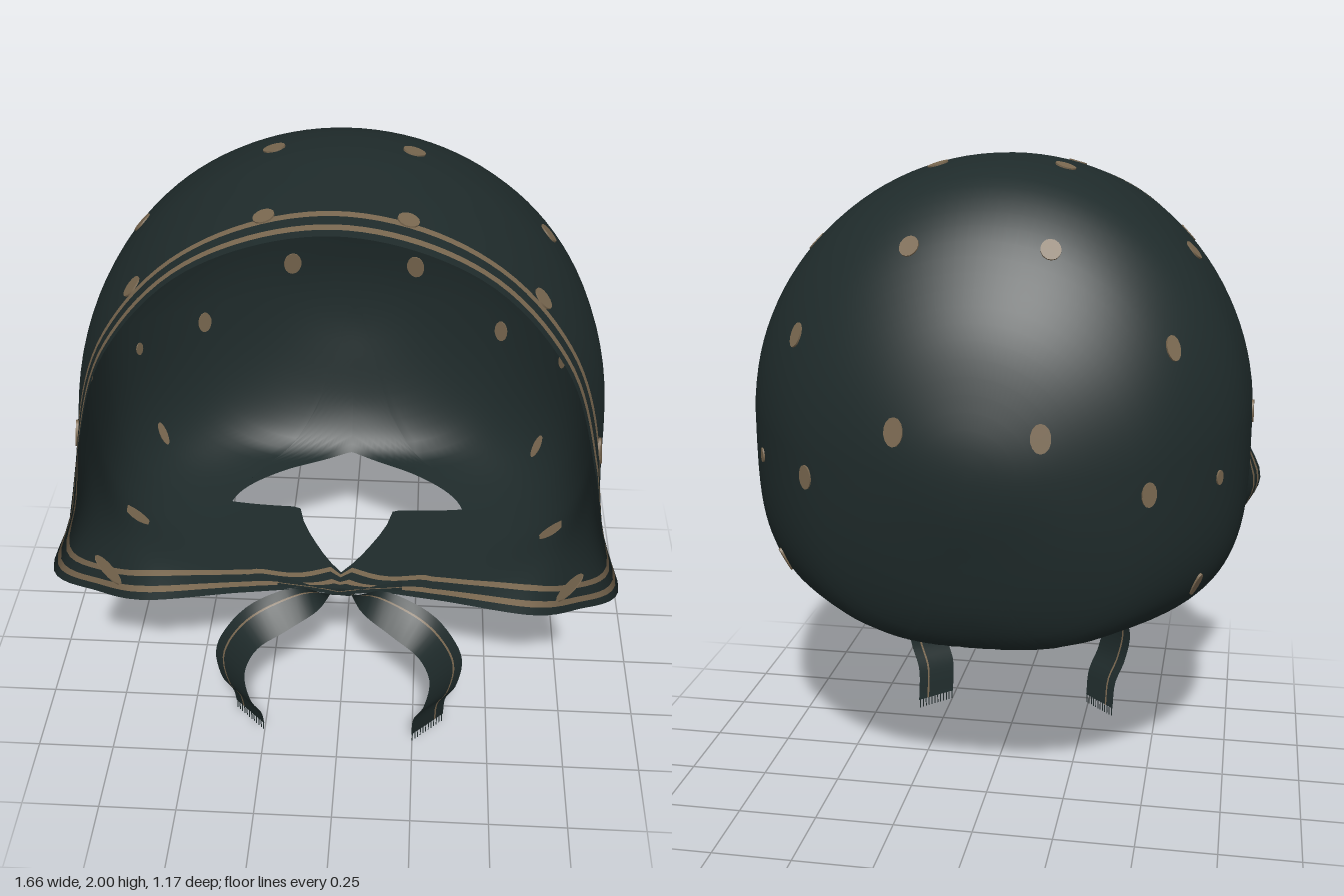
import * as THREE from 'three';
import { mergeVertices } from 'three/addons/utils/BufferGeometryUtils.js';

const cloth = new THREE.MeshStandardMaterial({ name: 'dark green cloth', color: 0x1f2b2b, side: THREE.DoubleSide });
const tan = new THREE.MeshStandardMaterial({ name: 'tan print', color: 0x7a6850, side: THREE.DoubleSide });
const V = (x, y, z) => new THREE.Vector3(x, y, z);

// Hood sections from back to front: z, half width, top, bottom, centre height, squareness of the lower half
const SECTIONS = [
  [-0.585, 0, 1.15, 1.15, 1.15, 2],
  [-0.58, 0.1, 1.24, 1.05, 1.15, 2],
  [-0.56, 0.21, 1.34, 0.93, 1.15, 2.1],
  [-0.5, 0.39, 1.54, 0.69, 1.15, 2.4],
  [-0.42, 0.54, 1.69, 0.58, 1.15, 2.8],
  [-0.3, 0.665, 1.85, 0.572, 1.17, 3.3],
  [-0.15, 0.755, 1.96, 0.57, 1.2, 3.7],
  [0.05, 0.787, 2.0, 0.57, 1.2, 4],
  [0.25, 0.78, 1.995, 0.57, 1.2, 4],
];

// Front rim, from under the chin up to the crown: angle, x, y, z
const RIM = [
  [0, 0, 0.572, 0.3], [0.145, 0.3, 0.576, 0.34], [0.664, 0.62, 0.6, 0.42],
  [0.92, 0.73, 0.71, 0.505], [1.27, 0.83, 0.855, 0.585], [1.49, 0.775, 1.02, 0.545],
  [1.62, 0.73, 1.25, 0.53], [2.09, 0.62, 1.6, 0.545], [2.54, 0.38, 1.86, 0.535],
  [Math.PI, 0, 1.965, 0.52],
];
const rimCurve = new THREE.CatmullRomCurve3([
  ...RIM.map(([, x, y, z]) => V(x, y, z)),
  ...RIM.slice(1, -1).reverse().map(([, x, y, z]) => V(-x, y, z))], true);

function rimPoint(phi) {
  let i = 0;
  while (i < RIM.length - 2 && phi > RIM[i + 1][0]) i++;
  const f = (phi - RIM[i][0]) / (RIM[i + 1][0] - RIM[i][0]);
  return rimCurve.getPoint((i + f) / (2 * RIM.length - 2));
}

// Line over the hood from the back pole to the rim at one angle
function meridian(phi) {
  const a = Math.abs(phi), s = Math.abs(Math.sin(a)), c = Math.cos(a);
  const pts = SECTIONS.map(([z, w, top, bottom, mid, n]) => {
    const low = c > 0, e = low ? 2 / n : 1;
    return V(w * Math.pow(s, e), low ? mid - (mid - bottom) * Math.pow(c, e) : mid - (top - mid) * c, z);
  });
  pts.push(rimPoint(a));
  if (phi < 0) pts.forEach(p => { p.x *= -1; });
  return new THREE.CatmullRomCurve3(pts);
}

// Fraction of a meridian's length at a given depth
function fractionAtZ(curve, z) {
  let lo = 0, hi = 1;
  for (let i = 0; i < 22; i++) {
    const m = (lo + hi) / 2;
    if (curve.getPointAt(m).z < z) lo = m; else hi = m;
  }
  return lo;
}

const HOLE = 0.29, BACK = 20, FRONT = 20;
const BANDS = [0.113, 0.09, 0.053, 0.029, 0];

// Positions along a meridian; the lines part around the neck opening,
// whose front side is two flaps with a notch between them
function columns(phi, curve) {
  const length = curve.getLength();
  const q = Math.min(1, Math.sqrt(Math.abs(phi) / HOLE));
  const va = fractionAtZ(curve, -0.11 - 0.31 * Math.sqrt(1 - q * q));
  const vb = fractionAtZ(curve, -0.11 + 0.33 * Math.pow(Math.max(0, 1 - q / 0.42), 0.8));
  const s = Math.min(1, (1 - vb) * length / 0.13);
  const bandStart = 1 - BANDS[0] * s / length;
  const us = [];
  for (let j = 0; j <= BACK; j++) us.push(va * j / BACK);
  for (let j = 0; j < FRONT; j++) us.push(vb + (bandStart - vb) * j / FRONT);
  BANDS.forEach(d => us.push(1 - d * s / length));
  return us;
}

function hoodGeometry() {
  const half = [];
  for (let i = 0; i <= 22; i++) half.push(HOLE * Math.sin(i / 22 * Math.PI / 2) ** 2);
  for (let i = 1; i <= 52; i++) half.push(HOLE + (Math.PI - HOLE) * i / 52);
  const phis = [...half.slice(1, -1).reverse().map(p => -p), ...half];
  const pos = [];
  let cols = 0;
  for (const phi of phis) {
    const curve = meridian(phi);
    const us = columns(phi, curve);
    cols = us.length;
    us.forEach(u => pos.push(...curve.getPointAt(u).toArray()));
  }
  const geo = new THREE.BufferGeometry(), index = [], n = phis.length;
  for (let j = 0; j < cols - 1; j++) {
    if (j === BACK) continue; // neck opening
    const start = index.length;
    for (let i = 0; i < n; i++) {
      const a = i * cols + j, b = ((i + 1) % n) * cols + j;
      index.push(a, b, a + 1, b, b + 1, a + 1);
    }
    const fromRim = cols - 2 - j; // striped bands beside the rim
    geo.addGroup(start, index.length - start, fromRim === 1 || fromRim === 3 ? 1 : 0);
  }
  geo.setAttribute('position', new THREE.Float32BufferAttribute(pos, 3));
  geo.setIndex(index);
  const merged = mergeVertices(geo, 1e-4);
  merged.computeVertexNormals();
  return merged;
}

// Printed dots sit on the nearest point of the cloth: x, y, z, width, height
const DOTS = [
  [0.21, 1.79, -0.36, 1, 1], [0.21, 1.28, -0.55, 1, 1.3], [0.57, 1.51, -0.34, 0.8, 1.15], [0.5, 1.1, -0.43, 0.8, 1.15],
  [0.6, 1.74, 0.03, 1, 1], [0.2, 2.0, 0.03, 1, 1], [0.79, 1.23, 0.07, 0.9, 1.1], [0.19, 1.96, 0.405, 1, 0.9],
  [0.55, 1.73, 0.405, 1, 1], [0.76, 1.25, 0.42, 0.9, 1.3], [0.7, 0.67, 0.11, 0.75, 1.8], [0.7, 1.1, -0.26, 0.5, 0.7],
  [0.65, 0.76, -0.25, 0.5, 1.3], [0.72, 0.71, 0.41, 0.75, 1.9],
];

function addDots(group, hood) {
  const p = hood.attributes.position, nrm = hood.attributes.normal;
  const disc = new THREE.CylinderGeometry(0.03, 0.03, 0.008, 14);
  for (const [x, y, z, w, h] of DOTS) for (const side of [1, -1]) {
    const target = V(x * side, y, z), q = V();
    let best = 0, bestD = Infinity;
    for (let i = 0; i < p.count; i++) {
      const d = q.fromBufferAttribute(p, i).distanceToSquared(target);
      if (d < bestD) { bestD = d; best = i; }
    }
    const c = V().fromBufferAttribute(p, best), n = V().fromBufferAttribute(nrm, best).normalize();
    // slide to the target within the tangent plane
    const slide = target.sub(c);
    slide.addScaledVector(n, -slide.dot(n)).clampLength(0, 0.02);
    const right = V(0, 1, 0).cross(n).normalize();
    const up = n.clone().cross(right).negate();
    const dot = new THREE.Mesh(disc, tan);
    dot.name = 'printedDot';
    dot.quaternion.setFromRotationMatrix(new THREE.Matrix4().makeBasis(right, n, up));
    dot.position.copy(c).add(slide);
    dot.scale.set(w, 1, 1.1 * h);
    group.add(dot);
  }
}

// Tie ribbon crossing under the chin, with a thin printed line and a fringe
function tie(side, drop) {
  const g = new THREE.Group();
  g.name = side > 0 ? 'leftTie' : 'rightTie';
  const path = new THREE.CatmullRomCurve3([
    V(-0.2, 0.575, 0.27), V(0, 0.56, 0.29), V(0.17, 0.52, 0.35), V(0.29, 0.46, 0.4), V(0.35, 0.34, 0.41),
    V(0.335, 0.22, 0.418), V(0.305, 0.14, 0.395), V(0.3, 0.03 + drop, 0.365)]);
  const cuts = [-1, 0.42, 0.52, 1], steps = 40, pos = [], index = [];
  const geo = new THREE.BufferGeometry();
  const { smoothstep } = THREE.MathUtils;
  // width direction: flat under the chin, upright at the bend, turned outward below
  const across = t => V(0, 0.2, 0.98)
    .lerp(V(0.45, 0.65, -0.45), smoothstep(t, 0.15, 0.4))
    .lerp(V(0.72, 0, -0.69), smoothstep(t, 0.38, 0.6)).normalize();
  for (let i = 0; i <= steps; i++) {
    const t = i / steps, c = path.getPointAt(t), d = across(t);
    const w = 0.045 + 0.028 * smoothstep(t, 0.15, 0.6);
    for (const k of cuts) {
      const q = c.clone().addScaledVector(d, k * w);
      pos.push(q.x * side, q.y, q.z);
    }
  }
  for (let j = 0; j < 3; j++) {
    const start = index.length;
    for (let i = 0; i < steps; i++) {
      const a = i * 4 + j, b = a + 4;
      if (side > 0) index.push(a, b, a + 1, b, b + 1, a + 1);
      else index.push(a, a + 1, b, b, a + 1, b + 1);
    }
    geo.addGroup(start, index.length - start, j === 1 ? 1 : 0);
  }
  geo.setAttribute('position', new THREE.Float32BufferAttribute(pos, 3));
  geo.setIndex(index);
  geo.computeVertexNormals();
  const ribbon = new THREE.Mesh(geo, [cloth, tan]);
  ribbon.name = 'tieRibbon';
  g.add(ribbon);
  // fringe threads
  const end = path.getPoint(1), d = across(1);
  const thread = new THREE.BoxGeometry(0.003, 0.03, 0.003);
  for (let i = 0; i < 12; i++) {
    const q = end.clone().addScaledVector(d, 0.068 * (i / 5.5 - 1));
    const m = new THREE.Mesh(thread, cloth);
    m.name = 'fringeThread';
    m.position.set(q.x * side, q.y - 0.015, q.z);
    g.add(m);
  }
  return g;
}

export function createModel() {
  const model = new THREE.Group();
  model.name = 'headscarf';
  const geo = hoodGeometry();
  const hood = new THREE.Mesh(geo, [cloth, tan]);
  hood.name = 'hood';
  model.add(hood);
  const dots = new THREE.Group();
  dots.name = 'printedDots';
  addDots(dots, geo);
  model.add(dots, tie(1, 0), tie(-1, 0.025));
  return model;
}
